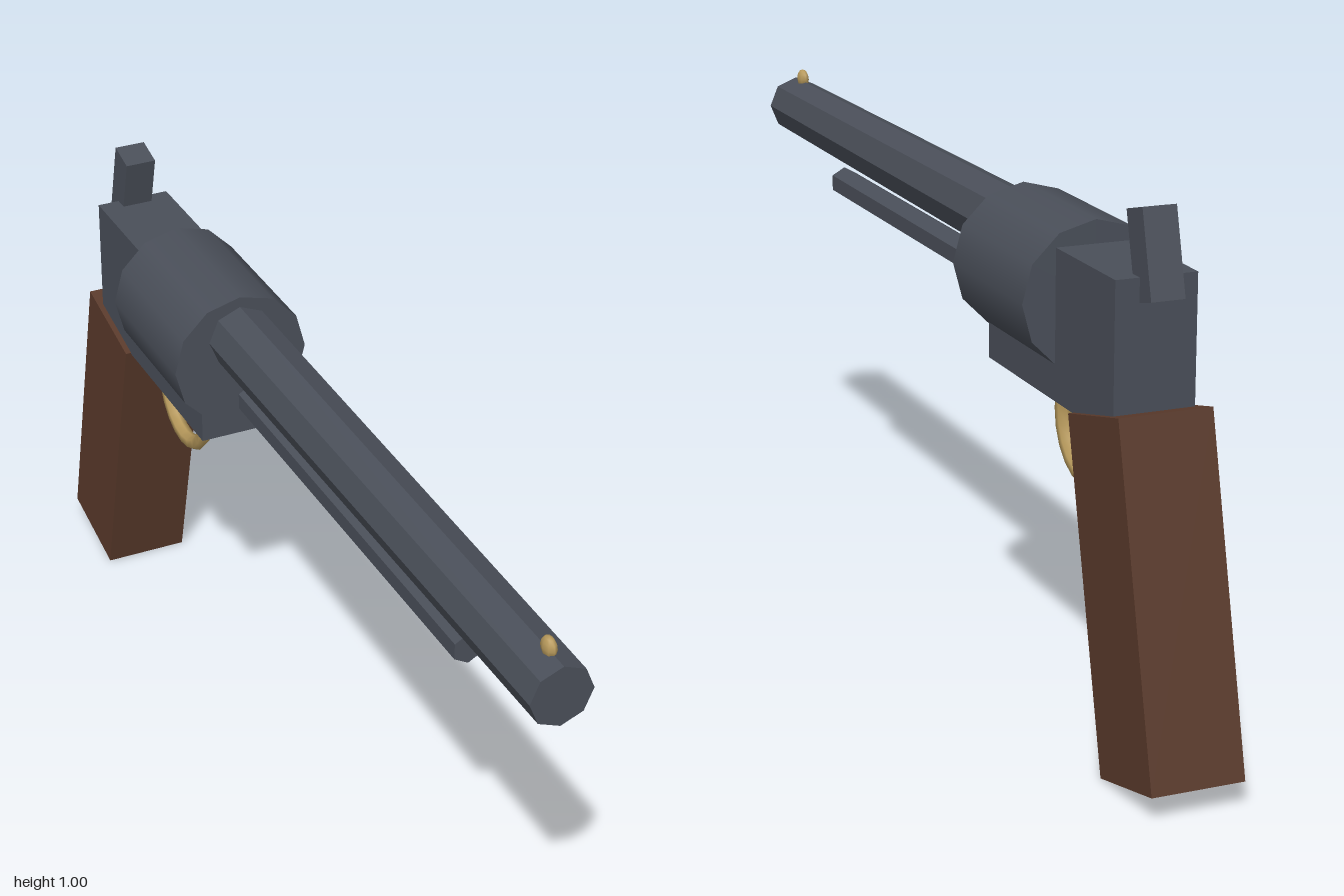
import * as THREE from 'three';

const steel = new THREE.MeshStandardMaterial({ color: 0x4a4f59 });
const steelFlat = new THREE.MeshStandardMaterial({ color: 0x4a4f59, flatShading: true });
const wood = new THREE.MeshStandardMaterial({ color: 0x5a3a2b });
const brass = new THREE.MeshStandardMaterial({ color: 0xb89a5c });

export function createModel() {
  const model = new THREE.Group();

  const add = (name, geometry, material, y, z, tilt = 0) => {
    const mesh = new THREE.Mesh(geometry, material);
    mesh.name = name;
    mesh.position.set(0, y, z);
    mesh.rotation.x = tilt;
    model.add(mesh);
    return mesh;
  };

  // Rod along z, from its front end to its back end
  const rod = (name, rFront, rBack, sides, y, zFront, zBack, material) => {
    const geometry = new THREE.CylinderGeometry(rFront, rBack, zFront - zBack, sides);
    geometry.rotateX(Math.PI / 2);
    return add(name, geometry, material, y, (zFront + zBack) / 2);
  };

  // Barrel, rod below it and the drum
  rod('barrel', 0.059, 0.065, 8, 0.838, 1, -0.28, steelFlat);
  rod('ejectorRod', 0.031, 0.031, 6, 0.727, 0.69, -0.21, steelFlat);
  rod('drum', 0.137, 0.137, 12, 0.787, -0.26, -0.572, steel);

  // Front sight bead
  const bead = add('frontSight', new THREE.SphereGeometry(0.02, 8, 6), brass, 0.903, 0.95);
  bead.scale.x = 0.6;

  // Frame and hammer
  add('frame', new THREE.BoxGeometry(0.15, 0.272, 0.527), steel, 0.745, -0.544);
  add('hammer', new THREE.BoxGeometry(0.062, 0.155, 0.061), steel, 0.917, -0.802, 0.25);

  // Trigger and its ring guard
  add('trigger', new THREE.BoxGeometry(0.03, 0.12, 0.03), steel, 0.588, -0.587, -0.22);
  const ring = new THREE.TorusGeometry(0.102, 0.0155, 6, 20);
  ring.rotateY(Math.PI / 2);
  add('triggerGuard', ring, brass, 0.552, -0.545);

  // Raked grip
  add('grip', new THREE.BoxGeometry(0.173, 0.628, 0.203), wood, 0.331, -0.827, 0.24);

  return model;
}
